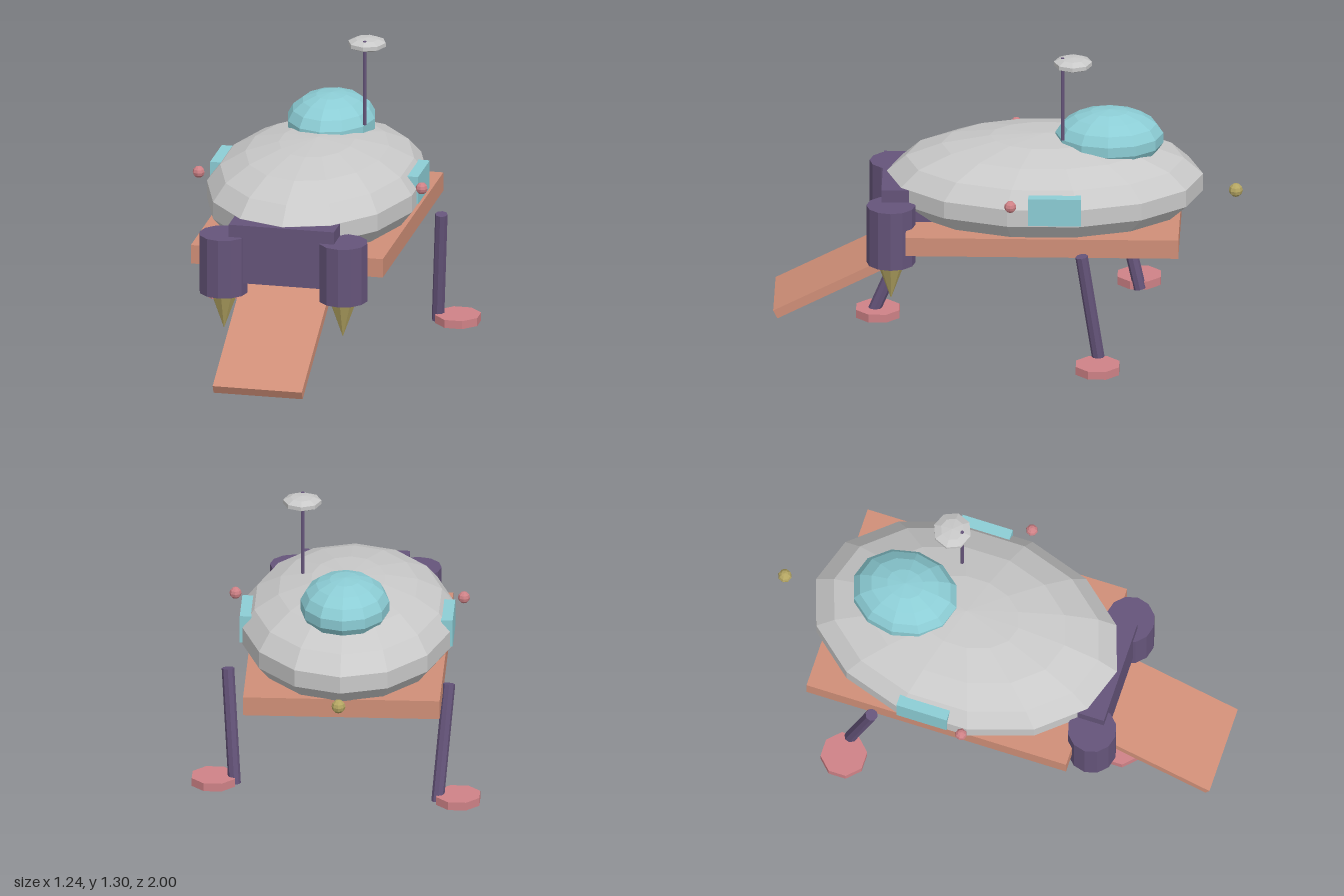
import * as THREE from 'three';

const mat = (name, color) => {
  const m = new THREE.MeshStandardMaterial({ color, flatShading: true });
  m.name = name;
  return m;
};

export function createModel() {
  const root = new THREE.Group();
  root.name = 'landerShip';
  const grey = mat('hullGrey', 0xc9c9c9);
  const copper = mat('copper', 0xd08f78);
  const purple = mat('purple', 0x65547a);
  const teal = mat('glassTeal', 0x8ccdd5);
  const pink = mat('pink', 0xcf8287);
  const gold = mat('gold', 0xb5a663);
  const CX = -0.04; // centre line of the ship

  const add = (name, geo, material, x, y, z) => {
    const mesh = new THREE.Mesh(geo, material);
    mesh.name = name;
    mesh.position.set(x, y, z);
    root.add(mesh);
    return mesh;
  };
  // Faceted ellipsoid with vertices on the fore-aft axis
  const ellipsoid = (rx, ry, rz, w, h) =>
    new THREE.SphereGeometry(1, w, h).rotateY(Math.PI / 2).scale(rx, ry, rz);
  // Cylinder between two points
  const strut = (name, a, b, r, sides, material) => {
    const p = new THREE.Vector3(...a), q = new THREE.Vector3(...b);
    const d = q.clone().sub(p);
    const mid = p.clone().addScaledVector(d, 0.5);
    const m = add(name, new THREE.CylinderGeometry(r, r, d.length(), sides), material, mid.x, mid.y, mid.z);
    m.quaternion.setFromUnitVectors(new THREE.Vector3(0, 1, 0), d.normalize());
  };

  // Body
  add('hull', ellipsoid(0.467, 0.218, 0.686, 14, 9), grey, CX, 0.664, -0.155);
  add('cockpitDome', ellipsoid(0.193, 0.128, 0.234, 12, 9), teal, CX, 0.865, -0.43);
  add('deck', new THREE.BoxGeometry(0.84, 0.083, 1.165), copper, CX, 0.517, -0.153);
  add('engineBlock', new THREE.BoxGeometry(0.46, 0.26, 0.29), purple, CX, 0.571, 0.392);
  const ramp = add('ramp', new THREE.BoxGeometry(0.39, 0.04, 0.65), copper, CX, 0.26, 0.701);
  ramp.rotation.x = 0.47;

  // Mirrored side parts
  for (const s of [-1, 1]) {
    add('engine', new THREE.CylinderGeometry(0.105, 0.105, 0.26, 12), purple, CX + s * 0.262, 0.516, 0.495);
    add('exhaustCone', new THREE.ConeGeometry(0.062, 0.17, 8).rotateX(Math.PI), gold, CX + s * 0.26, 0.305, 0.495);
    add('sideWindow', new THREE.BoxGeometry(0.05, 0.122, 0.225), teal, CX + s * 0.43, 0.694, -0.208);
    add('sideLight', new THREE.SphereGeometry(0.026, 8, 6), pink, CX + s * 0.488, 0.733, -0.02);
  }
  add('tailLight', new THREE.SphereGeometry(0.03, 8, 6), gold, CX, 0.628, -0.97);

  // Three legs: top, bottom, foot centre (x, z)
  const legs = [
    ['leftLeg', [0.465, 0.515, -0.325], [0.433, 0.012, -0.4], [0.522, -0.395]],
    ['rightLeg', [-0.485, 0.51, -0.435], [-0.442, 0.012, -0.55], [-0.53, -0.545]],
    ['frontLeg', [-0.098, 0.54, 0.365], [-0.11, 0.025, 0.58], [-0.115, 0.56]],
  ];
  for (const [name, top, bottom, [fx, fz]] of legs) {
    strut(name, top, bottom, 0.027, 8, purple);
    const foot = add(name + 'Foot', new THREE.CylinderGeometry(0.1, 0.1, 0.036, 8), pink, fx, 0.028, fz);
    foot.rotation.y = Math.PI / 8;
  }

  // Antenna
  strut('antennaPole', [0.15, 0.924, -0.236], [0.15, 1.301, -0.236], 0.008, 6, purple);
  add('antennaDish', ellipsoid(0.086, 0.028, 0.086, 8, 5), grey, 0.15, 1.276, -0.28);

  return root;
}
